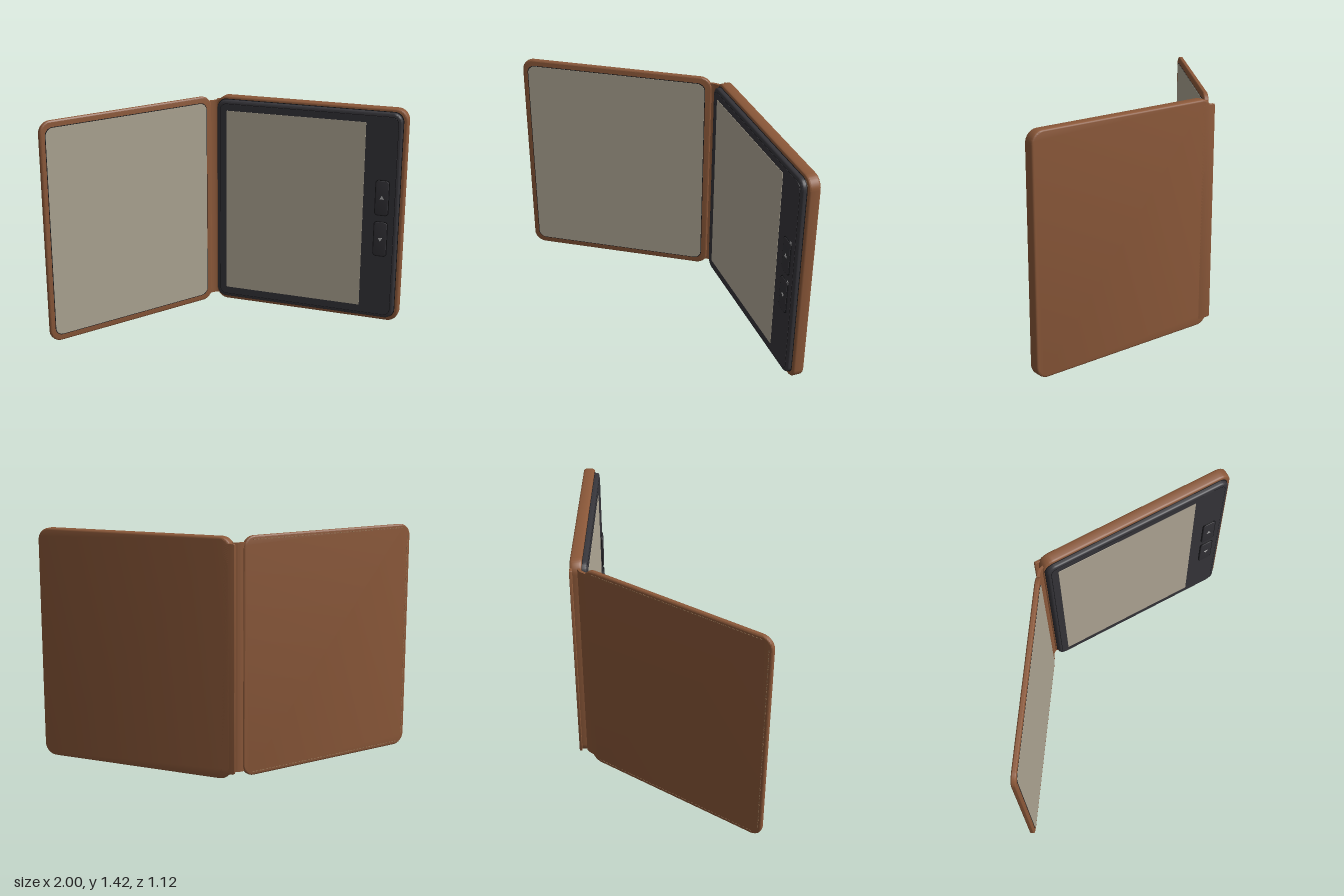
import * as THREE from 'three';
import { toCreasedNormals } from 'three/addons/utils/BufferGeometryUtils.js';

const material = (name, color, side = THREE.FrontSide) => {
  const m = new THREE.MeshStandardMaterial({ color, side });
  m.name = name;
  return m;
};

// Rounded rectangle centred on the origin
function roundedRect(w, h, r) {
  const s = new THREE.Shape(), x = w / 2, y = h / 2;
  s.moveTo(-x + r, -y);
  s.lineTo(x - r, -y);
  s.absarc(x - r, -y + r, r, -Math.PI / 2, 0);
  s.lineTo(x, y - r);
  s.absarc(x - r, y - r, r, 0, Math.PI / 2);
  s.lineTo(-x + r, y);
  s.absarc(-x + r, y - r, r, Math.PI / 2, Math.PI);
  s.lineTo(-x, -y + r);
  s.absarc(-x + r, -y + r, r, Math.PI, Math.PI * 1.5);
  return s;
}

// Rounded slab of full size w, h, d with softened edges, centred on the origin
function slab(w, h, d, r, bevel) {
  const geo = new THREE.ExtrudeGeometry(roundedRect(w, h, r), {
    depth: d - 2 * bevel, curveSegments: 8, bevelEnabled: bevel > 0,
    bevelThickness: bevel, bevelSize: bevel, bevelOffset: -bevel, bevelSegments: 3,
  });
  geo.translate(0, 0, -d / 2 + bevel);
  return toCreasedNormals(geo, 0.6);
}

export function createModel() {
  const leather = material('brown leather', 0x8b5839);
  const thread = material('stitch thread', 0x9a7656);
  const lining = material('lining', 0xaca492);
  const plastic = material('dark plastic', 0x36353a);
  const buttonMat = material('button plastic', 0x333237);
  const black = material('seam black', 0x17171a);
  const paper = material('screen', 0xb3aa98);
  const mark = material('light grey mark', 0xb8b8b8);

  const model = new THREE.Group();
  model.name = 'readerInFolio';
  const add = (name, geo, mat, x, y, z, parent = model) => {
    const mesh = new THREE.Mesh(geo, mat);
    mesh.name = name;
    mesh.position.set(x, y, z);
    parent.add(mesh);
    return mesh;
  };

  // Back half of the case
  add('caseTray', slab(1.262, 1.42, 0.07, 0.075, 0.012), leather, 0.369, 0.71, -0.53);

  // Reader body, raised rim and inset face
  add('readerSeam', slab(1.228, 1.378, 0.02, 0.06, 0), black, 0.362, 0.713, -0.503);
  add('readerBody', slab(1.22, 1.37, 0.06, 0.06, 0.014), plastic, 0.362, 0.713, -0.495);
  add('faceSeam', slab(1.176, 1.326, 0.002, 0.044, 0), black, 0.362, 0.713, -0.465);
  add('faceplate', slab(1.17, 1.32, 0.003, 0.042, 0), plastic, 0.362, 0.713, -0.4645);
  add('screen', slab(0.925, 1.23, 0.003, 0.004, 0), paper, 0.2825, 0.715, -0.4625);

  // Page buttons with arrows
  [[0.85, 1], [0.575, -1]].forEach(([y, dir]) => {
    const button = new THREE.Group();
    button.name = 'pageButton';
    button.position.set(0.867, y, -0.46);
    model.add(button);
    add('buttonSeam', slab(0.092, 0.236, 0.007, 0.022, 0), black, 0, 0, 0, button);
    add('buttonCap', slab(0.082, 0.226, 0.014, 0.018, 0.003), buttonMat, 0, 0, 0, button);
    const arrow = new THREE.CylinderGeometry(0.017, 0.017, 0.002, 3);
    arrow.rotateX(Math.PI / 2);
    arrow.rotateZ(dir > 0 ? Math.PI : 0);
    add('arrow', arrow, mark, 0, 0, 0.0075, button);
  });

  // Slot and contacts along the bottom edge
  add('port', new THREE.BoxGeometry(0.1, 0.006, 0.012), black, 0.69, 0.029, -0.485);
  for (let i = 0; i < 4; i++)
    add('contact', new THREE.BoxGeometry(0.008, 0.004, 0.006), mark, 0.49 + i * 0.022, 0.028, -0.485);

  // Swung-open front cover, its own +x edge at the hinge
  const cover = new THREE.Group();
  cover.name = 'frontCover';
  cover.position.set(-0.643, 0.71, 0.039);
  cover.rotation.y = 0.981;
  model.add(cover);
  const L = 1.242;
  add('coverPanel', slab(L, 1.42, 0.03, 0.075, 0.009), leather, 0, 0, 0, cover);
  add('liningSeam', slab(1.17, 1.342, 0.002, 0.05, 0), black, -0.004, 0, 0.0151, cover);
  add('coverLining', slab(1.162, 1.334, 0.004, 0.048, 0), lining, -0.004, 0, 0.0155, cover);

  // Stitching on the outside along the top, bottom and free edge
  const stitches = [];
  const run = (n, at) => { for (let i = 0; i <= n; i++) stitches.push(at(i / n)); };
  run(46, t => [-0.55 + 1.1 * t, 0.688, 0]);
  run(46, t => [-0.55 + 1.1 * t, -0.688, 0]);
  run(52, t => [-0.599, -0.63 + 1.26 * t, Math.PI / 2]);
  const stitchGeo = new THREE.BoxGeometry(0.014, 0.004, 0.003);
  const stitching = new THREE.InstancedMesh(stitchGeo, thread, 0);
  stitching.name = 'stitching';
  const seams = new THREE.Group();
  seams.name = 'stitching';
  cover.add(seams);
  stitches.forEach(([x, y, turn]) => {
    add('stitch', stitchGeo, thread, x, y, -0.0152, seams).rotation.z = turn;
  });

  // Curved spine joining the tray to the cover
  const path = new THREE.CatmullRomCurve3([
    [-0.245, -0.515], [-0.268, -0.507], [-0.288, -0.49], [-0.312, -0.455],
  ].map(([x, z]) => new THREE.Vector3(x, z, 0))).getPoints(12);
  const offset = (p, i, d) => {
    const a = path[Math.max(i - 1, 0)], b = path[Math.min(i + 1, path.length - 1)];
    const n = new THREE.Vector2(-(b.y - a.y), b.x - a.x).normalize().multiplyScalar(d);
    return new THREE.Vector2(p.x + n.x, -(p.y + n.y));
  };
  const outline = path.map((p, i) => offset(p, i, 0.008))
    .concat(path.map((p, i) => offset(p, i, -0.008)).reverse());
  const spine = new THREE.ExtrudeGeometry(new THREE.Shape(outline), { depth: 1.35, bevelEnabled: false });
  spine.rotateX(-Math.PI / 2);
  add('spine', toCreasedNormals(spine, 0.6), leather, 0, 0.035, 0);

  // Spine flap on the back of the tray
  add('spineFlap', slab(0.096, 1.35, 0.016, 0.012, 0.003), leather, -0.237, 0.71, -0.557);

  return model;
}
